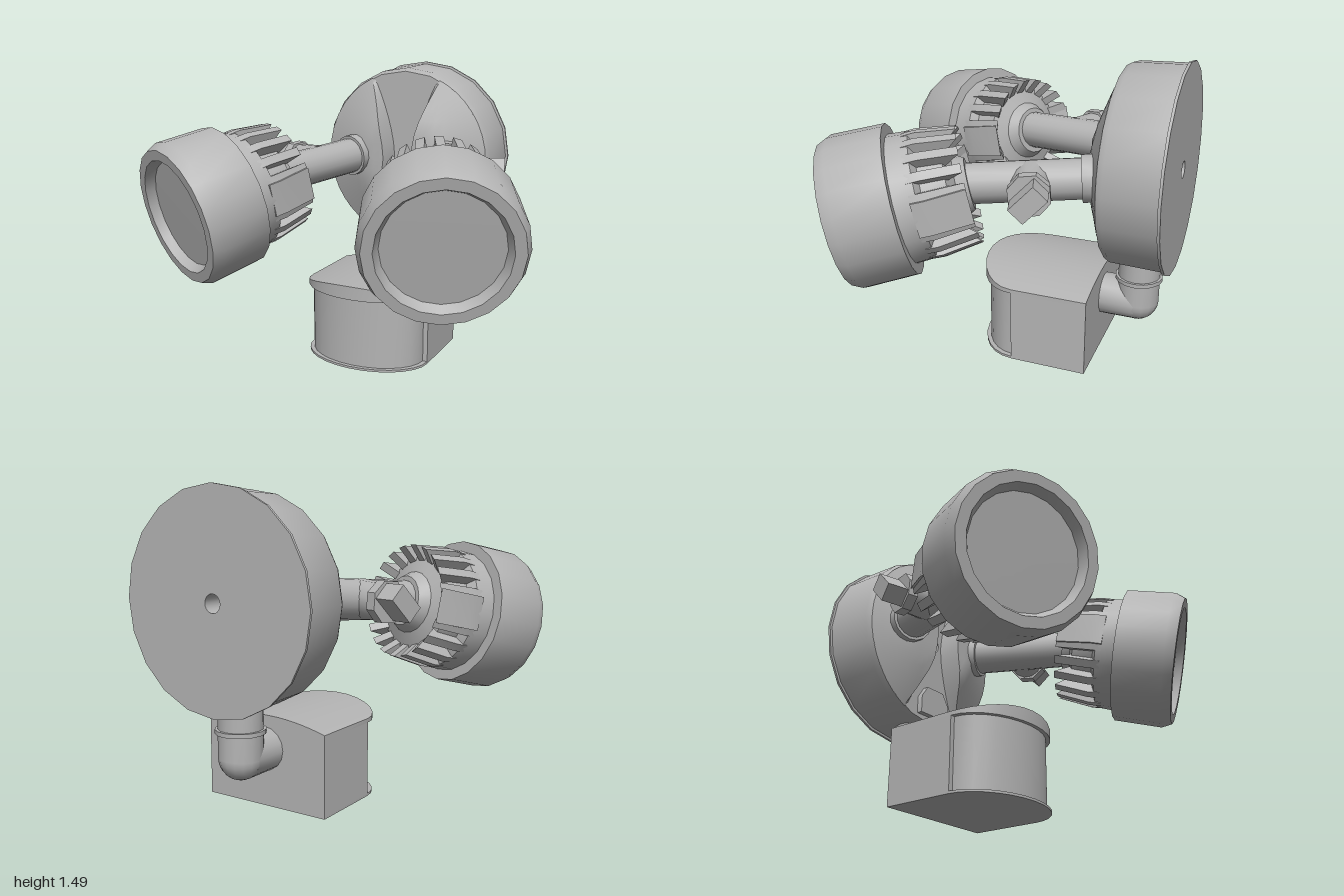
import * as THREE from 'three';
import { toCreasedNormals } from 'three/addons/utils/BufferGeometryUtils.js';

const V = (x, y, z) => new THREE.Vector3(x, y, z);

export function createModel() {
  const model = new THREE.Group();
  model.name = 'twinFloodlight';
  const grey = new THREE.MeshStandardMaterial({ color: 0xb4b4b4 });
  grey.name = 'grey plastic';

  function add(parent, name, geometry, crease = 0.6) {
    const mesh = new THREE.Mesh(toCreasedNormals(geometry, crease), grey);
    mesh.name = name;
    parent.add(mesh);
    return mesh;
  }

  // Turned part: points are [radius, z], turned about the z axis
  const turned = (points, sides) =>
    new THREE.LatheGeometry(points.map(p => new THREE.Vector2(...p)), sides).rotateX(Math.PI / 2);

  // Cylinder between two points
  function rod(name, a, b, r1, r2 = r1, sides = 16) {
    const dir = b.clone().sub(a);
    const mesh = add(model, name, new THREE.CylinderGeometry(r2, r1, dir.length(), sides));
    mesh.position.copy(a).lerp(b, 0.5);
    mesh.quaternion.setFromUnitVectors(V(0, 1, 0), dir.normalize());
    return mesh;
  }

  // Move every vertex of a geometry by a rule
  function reshape(geometry, rule) {
    const p = geometry.attributes.position, v = V(0, 0, 0);
    for (let i = 0; i < p.count; i++) {
      v.fromBufferAttribute(p, i);
      rule(v);
      p.setXYZ(i, v.x, v.y, v.z);
    }
    geometry.computeVertexNormals();
    return geometry;
  }

  // Round wall plate with a screw hole through the middle
  const plateY = 0.99;
  add(model, 'wallPlate', turned([
    [0.042, -0.79], [0.502, -0.79], [0.502, -0.777], [0.49, -0.775], [0.482, -0.53],
    [0.465, -0.5], [0.042, -0.5], [0.042, -0.79]], 20)).position.y = plateY;

  // Raised lobes on either side of the waisted recess
  for (const side of [1, -1]) {
    const cols = 8;
    const lobe = reshape(new THREE.PlaneGeometry(1, 1, cols, 18), v => {
      const u = 0.5 + side * v.x;
      const dy = 0.42 * Math.sin(v.y * Math.PI);
      const outer = Math.sqrt(0.465 ** 2 - dy * dy);
      const inner = Math.min(outer, 0.08 + 0.12 * (Math.abs(dy) / 0.42) ** 1.6);
      const k = Math.max(0, (u * cols - 1) / (cols - 1));
      const x = inner + (outer - inner) * k;
      const rise = Math.min(1, (0.465 - Math.hypot(x, dy)) / 0.26);
      const foot = u < 0.01;
      v.set(side * (foot ? x - 0.02 : x), plateY + dy, foot ? -0.502 : -0.501 + 0.111 * rise);
    });
    add(model, 'plateLobe', lobe, 0.5);
  }

  // Small boss at the foot of the recess
  const boss = new THREE.Shape([[-0.1, 0.56], [0.1, 0.56], [0.1, 0.65], [0.06, 0.71], [-0.06, 0.71], [-0.1, 0.65]]
    .map(p => new THREE.Vector2(...p)));
  add(model, 'recessBoss', new THREE.ExtrudeGeometry(boss, { depth: 0.035, bevelEnabled: false }))
    .position.z = -0.505;

  // Lamps with their arms
  for (const s of [1, -1]) {
    const lamp = new THREE.Group();
    lamp.name = s > 0 ? 'leftLamp' : 'rightLamp';
    const dir = V(s * 0.41, -0.22, 0.9).normalize();
    lamp.position.set(s * 0.615, 0.855, 0.505);
    lamp.lookAt(lamp.position.clone().add(dir));
    model.add(lamp);

    add(lamp, 'hood', turned([
      [0.28, -0.15], [0.352, -0.15], [0.358, 0.1], [0.335, 0.15], [0.285, 0.15], [0.262, 0.105]], 20));
    add(lamp, 'lens', turned([[0.28, 0.105], [0, 0.107]], 20));
    add(lamp, 'lampBody', turned([
      [0, -0.46], [0.12, -0.46], [0.15, -0.41], [0.235, -0.38], [0.25, -0.27],
      [0.295, -0.25], [0.305, -0.1]], 20));

    // Cooling fins, with a wide one on each side
    const profile = new THREE.Shape([[0.2, -0.22], [0.295, -0.22], [0.298, -0.28], [0.272, -0.46], [0.2, -0.38]]
      .map(p => new THREE.Vector2(...p)));
    const count = 20;
    for (let k = 0; k < count; k++) {
      const width = k % (count / 2) === 0 ? 0.16 : 0.042;
      const fin = new THREE.ExtrudeGeometry(profile, { depth: width, bevelEnabled: false });
      fin.translate(0, 0, -width / 2).rotateX(Math.PI / 2).rotateZ(k / count * Math.PI * 2);
      add(lamp, 'coolingFin', fin);
    }

    // Arm from the plate to the lamp
    const start = V(s * 0.25, 1.0, -0.49), end = V(s * 0.437, 0.955, 0.115);
    rod('arm', start, end, 0.095);
    rod('armCollar', start, start.clone().lerp(end, 0.17), 0.112, 0.11);

    // Side branch with its locking knob
    const root = V(s * 0.35, 0.98, -0.17), out = V(s * 0.95, 0, -0.3).normalize();
    const along = d => root.clone().addScaledVector(out, d);
    rod('sideBranch', root, along(0.16), 0.095, 0.085, 12);
    rod('lockNut', along(0.15), along(0.2), 0.1, 0.1, 8);
    const knob = add(model, 'lockKnob', new THREE.BoxGeometry(0.09, 0.15, 0.12));
    knob.position.copy(along(0.245));
    knob.lookAt(along(1));
    knob.rotateZ(s * -Math.PI / 4);
  }

  // Pipe elbow joining the plate to the sensor
  rod('elbowPipe', V(0, 0.28, -0.615), V(0, 0.56, -0.615), 0.104);
  rod('elbowCollar', V(0, 0.395, -0.615), V(0, 0.415, -0.615), 0.117);
  add(model, 'elbowBend', new THREE.SphereGeometry(0.104, 16, 12), 1).position.set(0, 0.28, -0.615);
  rod('elbowOutlet', V(0, 0.28, -0.615), V(0, 0.28, -0.43), 0.104);

  // Sensor slab: bowed front edge, top height given by x
  function slab(name, half, zBack, zSide, bulge, yLow, yTop) {
    add(model, name, reshape(new THREE.BoxGeometry(1, 1, 1, 14, 1, 1), v => {
      const a = v.x * Math.PI;
      const x = half * Math.sin(a);
      v.set(x, v.y > 0 ? yTop(x) : yLow, v.z > 0 ? zSide + bulge * Math.cos(a) : zBack);
    }));
  }
  const arch = x => 0.44 - 0.05 * (x / 0.335) ** 2;
  slab('sensorBody', 0.335, -0.44, -0.06, 0, 0, x => arch(x) - 0.005);
  slab('sensorWindow', 0.31, -0.1, -0.06, 0.21, 0.01, () => 0.38);
  slab('sensorRoof', 0.335, -0.44, -0.06, 0.23, 0.37, arch);
  slab('sensorFoot', 0.335, -0.44, -0.06, 0.23, 0, () => 0.012);

  return model;
}
